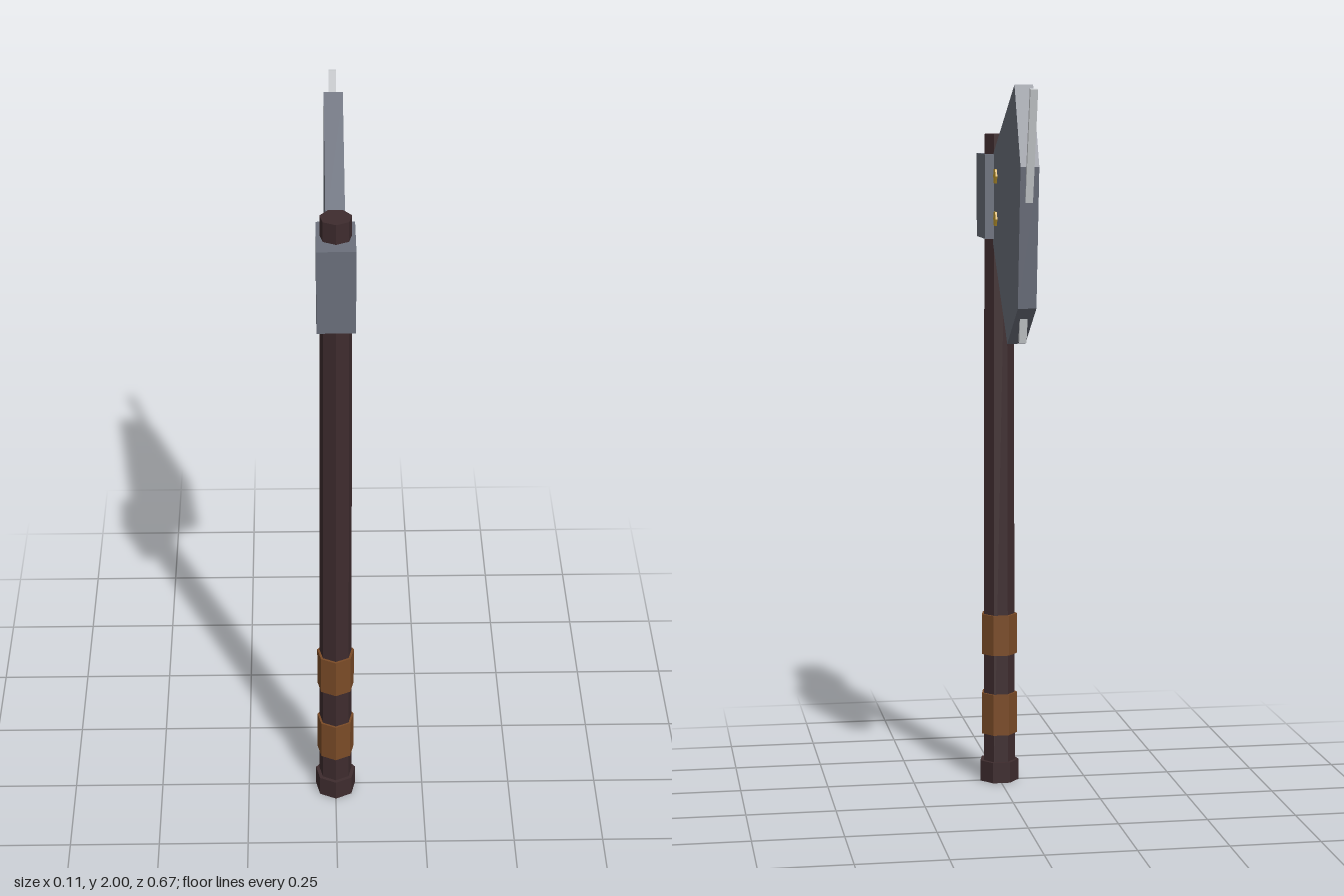
import * as THREE from 'three';

const material = (name, color) => {
  const m = new THREE.MeshStandardMaterial({ color });
  m.name = name;
  return m;
};

export function createModel() {
  const axe = new THREE.Group();
  axe.name = 'axe';

  const wood = material('dark wood', 0x3e2c2e);
  const leather = material('brown leather', 0x7a4b27);
  const steel = material('grey steel', 0x6b707c);
  const brass = material('brass', 0xc9a030);
  const bright = material('bright edge', 0xd2d5d8);

  const shaftZ = 0.26;

  const add = (name, geometry, mat, x, y, z) => {
    // Separate face corners keep the facets flat
    const flat = geometry.index ? geometry.toNonIndexed() : geometry;
    flat.computeVertexNormals();
    const mesh = new THREE.Mesh(flat, mat);
    mesh.name = name;
    mesh.position.set(x, y, z);
    axe.add(mesh);
    return mesh;
  };

  // Seven-sided ring or shaft standing between two heights
  const post = (name, mat, rTop, rBottom, y0, y1) =>
    add(name, new THREE.CylinderGeometry(rTop, rBottom, y1 - y0, 7), mat, 0, (y0 + y1) / 2, shaftZ);

  // Handle, pommel and grip wraps
  post('handle', wood, 0.042, 0.047, 0.02, 1.865);
  post('pommel', wood, 0.0575, 0.0575, 0, 0.06);
  post('lowerWrap', leather, 0.0525, 0.0525, 0.14, 0.26);
  post('upperWrap', leather, 0.0525, 0.0525, 0.375, 0.492);

  // Socket block around the handle
  add('socket', new THREE.BoxGeometry(0.1, 0.235, 0.157), steel, 0, 1.692, shaftZ);

  // Blade plate, outlined as (backward distance, height)
  const outline = [
    [-0.197, 1.56], [0.05, 1.302], [0.225, 1.412],
    [0.267, 1.787], [0.17, 2.0], [-0.197, 1.808],
  ].map(([x, y]) => new THREE.Vector2(x, y));
  const blade = new THREE.ExtrudeGeometry(new THREE.Shape(outline), { depth: 0.05, bevelEnabled: false });
  blade.translate(0, 0, -0.025).rotateY(Math.PI / 2);
  add('blade', blade, steel, 0, 0, 0);

  // Slanted strip along the cutting edge
  const strip = add('cuttingEdge', new THREE.BoxGeometry(0.02, 0.695, 0.013), bright, 0, 1.652, -0.239);
  strip.rotation.x = -0.257;

  // Rivets pass through the blade and show on both sides
  for (const [name, y] of [['upperRivet', 1.75], ['lowerRivet', 1.632]]) {
    const rivet = new THREE.CylinderGeometry(0.0225, 0.0225, 0.06, 6).rotateZ(Math.PI / 2);
    add(name, rivet, brass, 0, y, 0.141);
  }

  return axe;
}
